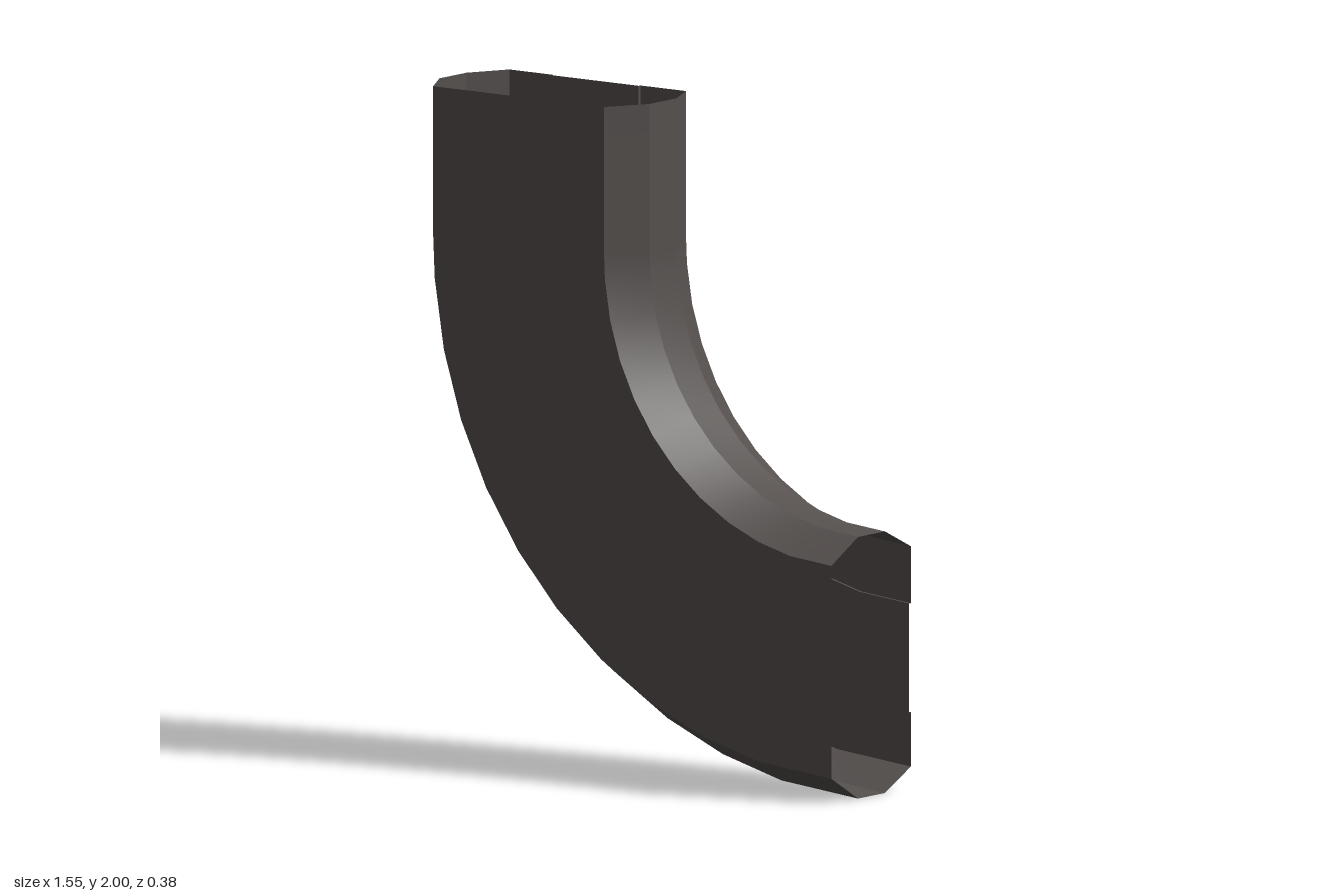
import * as THREE from 'three';

// Duct outline as [distance from inner bend, z], running around the section
const SECTION = [
  [0.07, 0.193], [0.705, 0.193],                      // front wall
  [0.78, 0.065], [0.78, -0.065],                      // outer bend wall
  [0.717, -0.19], [0.555, -0.19], [0.555, -0.182],    // back wall with shallow recess
  [0.23, -0.182], [0.23, -0.19], [0.06, -0.19],
  [0, -0.065], [0, 0.065],                            // inner bend wall
];
const NAMES = ['frontWall', 'outerFrontChamfer', 'outerWall', 'outerBackChamfer',
  'backOuterLip', 'recessOuterStep', 'backPanel', 'recessInnerStep', 'backInnerLip',
  'innerBackChamfer', 'innerWall', 'innerFrontChamfer'];

const CX = 0.775, CY = 1.56, R = 0.775;

// Stations along the duct: straight top, then a quarter bend
const STATIONS = [{ angle: 0, y: 2 }, { angle: 0, y: CY }];
for (let i = 0; i < 10; i++) STATIONS.push({ angle: 5.1 + i * 8.26, y: CY });
STATIONS.push({ angle: 90, y: CY });

function place([d, z], { angle, y }) {
  const a = THREE.MathUtils.degToRad(angle);
  return [CX - (R + d) * Math.cos(a), y - (R + d) * Math.sin(a), z];
}

// One wall swept along the duct, smooth lengthwise and creased at its sides
function wall(p, q) {
  const positions = [], index = [];
  STATIONS.forEach((s, j) => {
    positions.push(...place(p, s), ...place(q, s));
    if (j === 0) return;
    const a = 2 * j - 2;
    index.push(a, a + 1, a + 2, a + 1, a + 3, a + 2);
  });
  const g = new THREE.BufferGeometry();
  g.setAttribute('position', new THREE.Float32BufferAttribute(positions, 3));
  g.setIndex(index);
  g.computeVertexNormals();
  return g;
}

export function createModel() {
  const metal = new THREE.MeshStandardMaterial({ color: 0x55504e, side: THREE.DoubleSide });
  metal.name = 'dark brown metal';
  const duct = new THREE.Group();
  duct.name = 'ductElbow';
  SECTION.forEach((p, i) => {
    const mesh = new THREE.Mesh(wall(p, SECTION[(i + 1) % SECTION.length]), metal);
    mesh.name = NAMES[i];
    duct.add(mesh);
  });
  return duct;
}
